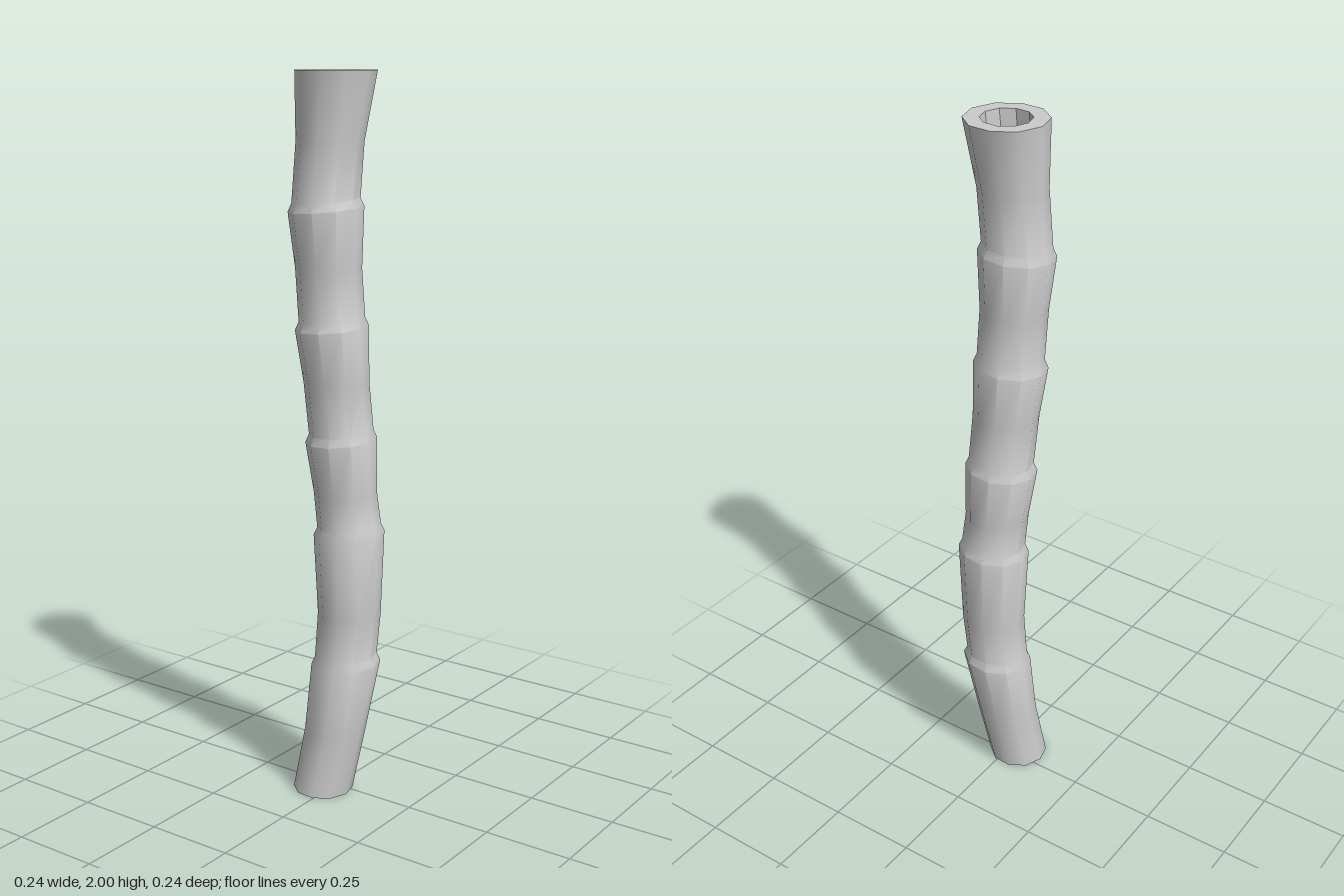
import * as THREE from 'three';
import { toCreasedNormals } from 'three/addons/utils/BufferGeometryUtils.js';

const SIDES = 10;
const TURN = THREE.MathUtils.degToRad(14.5);

// Skins a list of rings [y, centreX, centreZ, radius, tilt]; radius 0 closes an end.
function loft(rings) {
  const pos = [], index = [];
  rings.forEach(([y, cx, cz, r, tilt = 0], i) => {
    for (let k = 0; k < SIDES; k++) {
      const a = TURN + (k / SIDES) * Math.PI * 2;
      const dx = Math.cos(a) * r, dz = -Math.sin(a) * r;
      pos.push(cx + dx, y + tilt * (dx + dz), cz + dz);
      if (i === 0) continue;
      const n = (k + 1) % SIDES, lo = (i - 1) * SIDES, hi = i * SIDES;
      if (rings[i - 1][3] > 0) index.push(lo + k, lo + n, hi + n);
      if (r > 0) index.push(lo + k, hi + n, hi + k);
      else if (rings[i - 1][3] > 0) index.splice(-3, 3, lo + k, lo + n, hi + k);
    }
  });
  const g = new THREE.BufferGeometry();
  g.setAttribute('position', new THREE.Float32BufferAttribute(pos, 3));
  g.setIndex(index);
  return g;
}

export function createModel() {
  const group = new THREE.Group();
  const add = (name, geometry, flatShading = false) => {
    const mesh = new THREE.Mesh(geometry, new THREE.MeshStandardMaterial({ color: 0xcccccc, flatShading }));
    mesh.name = name;
    group.add(mesh);
  };

  // Nodes (flared joints) alternate with the slim middles of the segments
  const base = [0, -0.03, -0.024, 0.084];
  const middles = [
    [0.18, -0.003, 0, 0.086], [0.52, 0.027, 0.026, 0.088], [0.87, 0.019, 0.018, 0.087],
    [1.18, -0.001, 0.002, 0.089], [1.49, -0.016, -0.013, 0.089], [1.82, -0.013, -0.01, 0.09],
  ];
  const nodes = [
    [0.375, 0.019, 0.02, 0.097], [0.755, 0.025, 0.026, 0.098], [1.02, 0.01, 0.01, 0.098],
    [1.33, -0.011, -0.006, 0.099], [1.645, -0.022, -0.017, 0.101],
  ];
  const outer = [[0, base[1], base[2], 0], base];
  middles.forEach((middle, i) => {
    outer.push(middle);
    if (!nodes[i]) return;
    const [y, x, z, r] = nodes[i];
    outer.push([y, x, z, r, 0.06], [y + 0.022, x, z, r - 0.01, 0.06]);
  });
  outer.push([2, 0, 0, 0.108]);
  add('stalk', toCreasedNormals(loft(outer), 0.75));

  // Flat rim at the open end
  add('rim', loft([[2, 0, 0, 0.108], [2, 0, 0, 0.066]]), true);

  // Inner wall and floor of the hollow end
  add('hollow', loft([[2, 0, 0, 0.066], [1.84, -0.01, -0.008, 0.062], [1.84, -0.01, -0.008, 0]]), true);

  return group;
}
